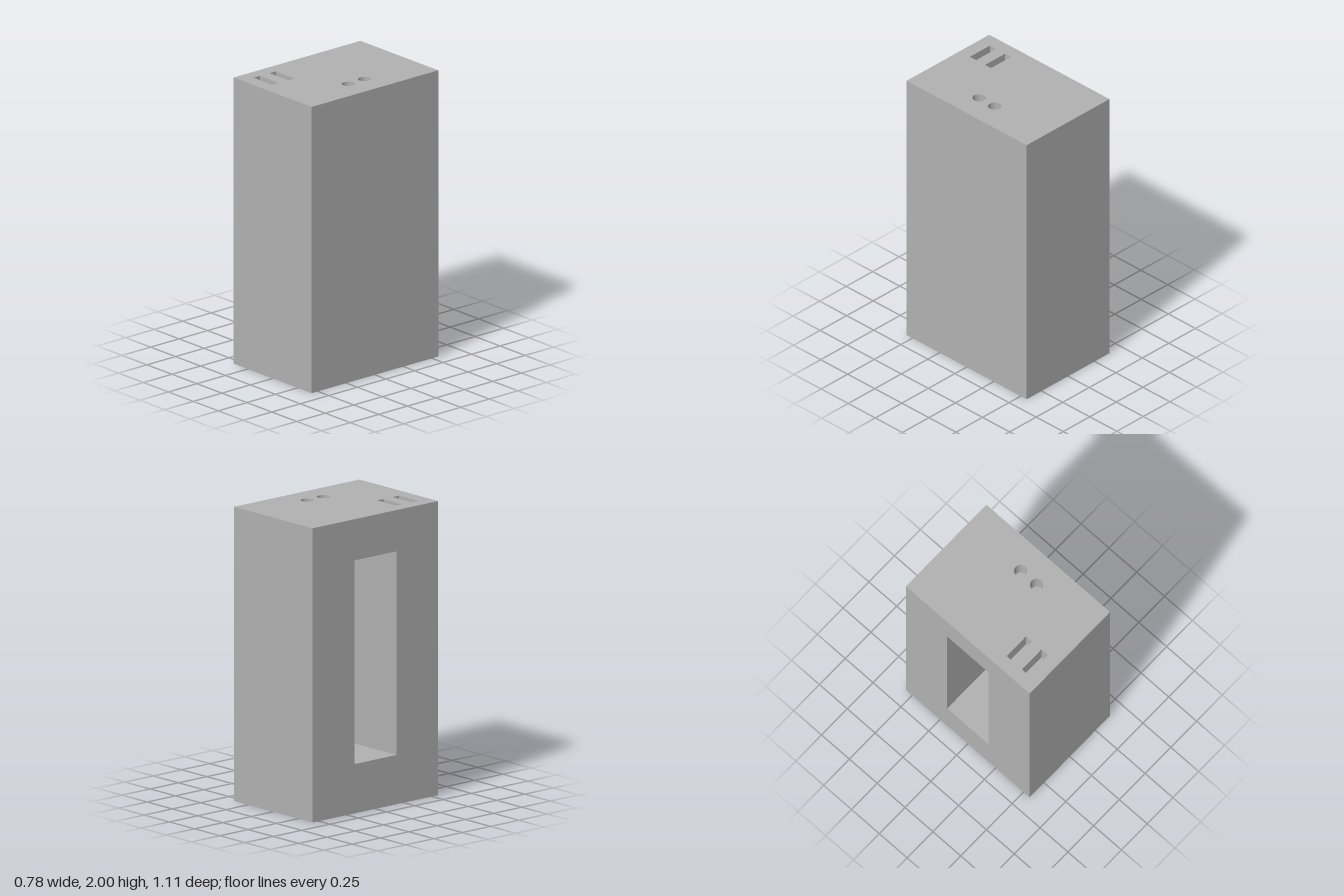
import * as THREE from 'three';

const W = 0.78, H = 2, D = 1.11;

// Keep every face group of a solid except those listed; optionally turn it inside out
function withoutFaces(geo, dropped, inward = false) {
  const src = Array.from(geo.index.array);
  let index = geo.groups
    .filter(g => !dropped.includes(g.materialIndex))
    .flatMap(g => src.slice(g.start, g.start + g.count));
  if (inward) {
    index.reverse();
    const n = geo.attributes.normal;
    for (let i = 0; i < n.array.length; i++) n.array[i] *= -1;
  }
  geo.setIndex(index);
  geo.clearGroups();
  return geo;
}

// Rectangle from min and max corners
function rect(PathType, x0, y0, x1, y1) {
  const p = new PathType();
  p.moveTo(x0, y0);
  p.lineTo(x1, y0);
  p.lineTo(x1, y1);
  p.lineTo(x0, y1);
  p.closePath();
  return p;
}

export function createModel() {
  const model = new THREE.Group();
  const grey = new THREE.MeshStandardMaterial({ color: 0xb2b2b2 });
  grey.name = 'grey';
  const add = (name, geo) => {
    const mesh = new THREE.Mesh(geo, grey);
    mesh.name = name;
    model.add(mesh);
  };

  // Four plain sides: the -x face (1) and the top (2) are made with openings
  add('casing', withoutFaces(new THREE.BoxGeometry(W, H, D), [1, 2]).translate(0, H / 2, 0));

  const top = rect(THREE.Shape, -W / 2, -D / 2, W / 2, D / 2);

  // Two slots sunk into the top
  const depth = 0.15;
  for (const [z0, z1] of [[0.265, 0.32], [0.402, 0.46]]) {
    const x0 = -0.3, x1 = -0.11;
    top.holes.push(rect(THREE.Path, x0, -z1, x1, -z0));
    add('slot', withoutFaces(new THREE.BoxGeometry(x1 - x0, depth, z1 - z0), [2], true)
      .translate((x0 + x1) / 2, H - depth / 2, (z0 + z1) / 2));
  }

  // Two round sockets sunk into the top
  const r = 0.043, sides = 48;
  for (const z of [-0.074, 0.07]) {
    const hole = new THREE.Path();
    hole.setFromPoints(Array.from({ length: sides }, (_, i) => {
      const a = i / sides * Math.PI * 2;
      return new THREE.Vector2(0.202 + r * Math.cos(a), -z + r * Math.sin(a));
    }));
    hole.closePath();
    top.holes.push(hole);
    add('roundSocket', withoutFaces(new THREE.CylinderGeometry(r, r, depth, sides), [1], true)
      .translate(0.202, H - depth / 2, z));
  }
  add('topPanel', new THREE.ShapeGeometry(top).rotateX(-Math.PI / 2).translate(0, H, 0));

  // Side panel with a tall opening, and the recess behind it
  const z = 0.185, y0 = 0.335, y1 = 1.72, recess = 0.5;
  const side = rect(THREE.Shape, -D / 2, 0, D / 2, H);
  side.holes.push(rect(THREE.Path, -z, y0, z, y1));
  add('sidePanel', new THREE.ShapeGeometry(side).rotateY(-Math.PI / 2).translate(-W / 2, 0, 0));
  add('sideRecess', withoutFaces(new THREE.BoxGeometry(recess, y1 - y0, 2 * z), [1], true)
    .translate(-W / 2 + recess / 2, (y0 + y1) / 2, 0));

  return model;
}
